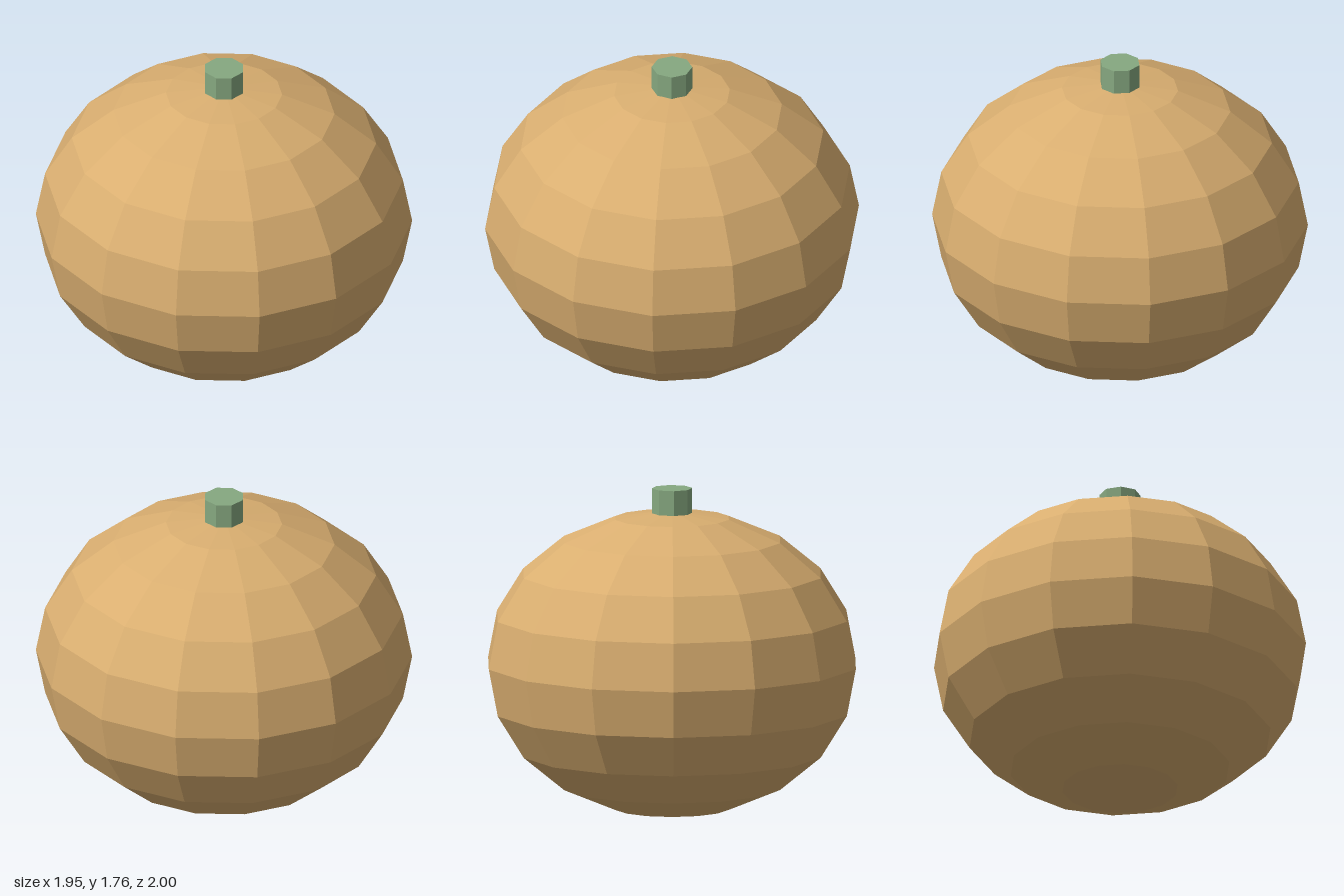
import * as THREE from 'three';

export function createModel() {
  const group = new THREE.Group();
  group.name = 'gourd';

  const tan = new THREE.MeshStandardMaterial({ color: 0xd9ae70, flatShading: true });
  tan.name = 'tan skin';
  const green = new THREE.MeshStandardMaterial({ color: 0x86a880, flatShading: true });
  green.name = 'green stem';

  // Squashed faceted body, with a corner line facing the front
  const bodyGeometry = new THREE.SphereGeometry(1, 14, 10);
  bodyGeometry.rotateY(Math.PI / 2);
  bodyGeometry.scale(1, 0.82, 1);
  const body = new THREE.Mesh(bodyGeometry, tan);
  body.name = 'body';
  body.position.y = 0.82;
  group.add(body);

  // Short eight-sided stem, slightly twisted and sunk into the body
  const stemGeometry = new THREE.CylinderGeometry(0.108, 0.108, 0.2, 8);
  stemGeometry.rotateY(0.2);
  const stem = new THREE.Mesh(stemGeometry, green);
  stem.name = 'stem';
  stem.position.y = 1.66;
  group.add(stem);

  return group;
}
